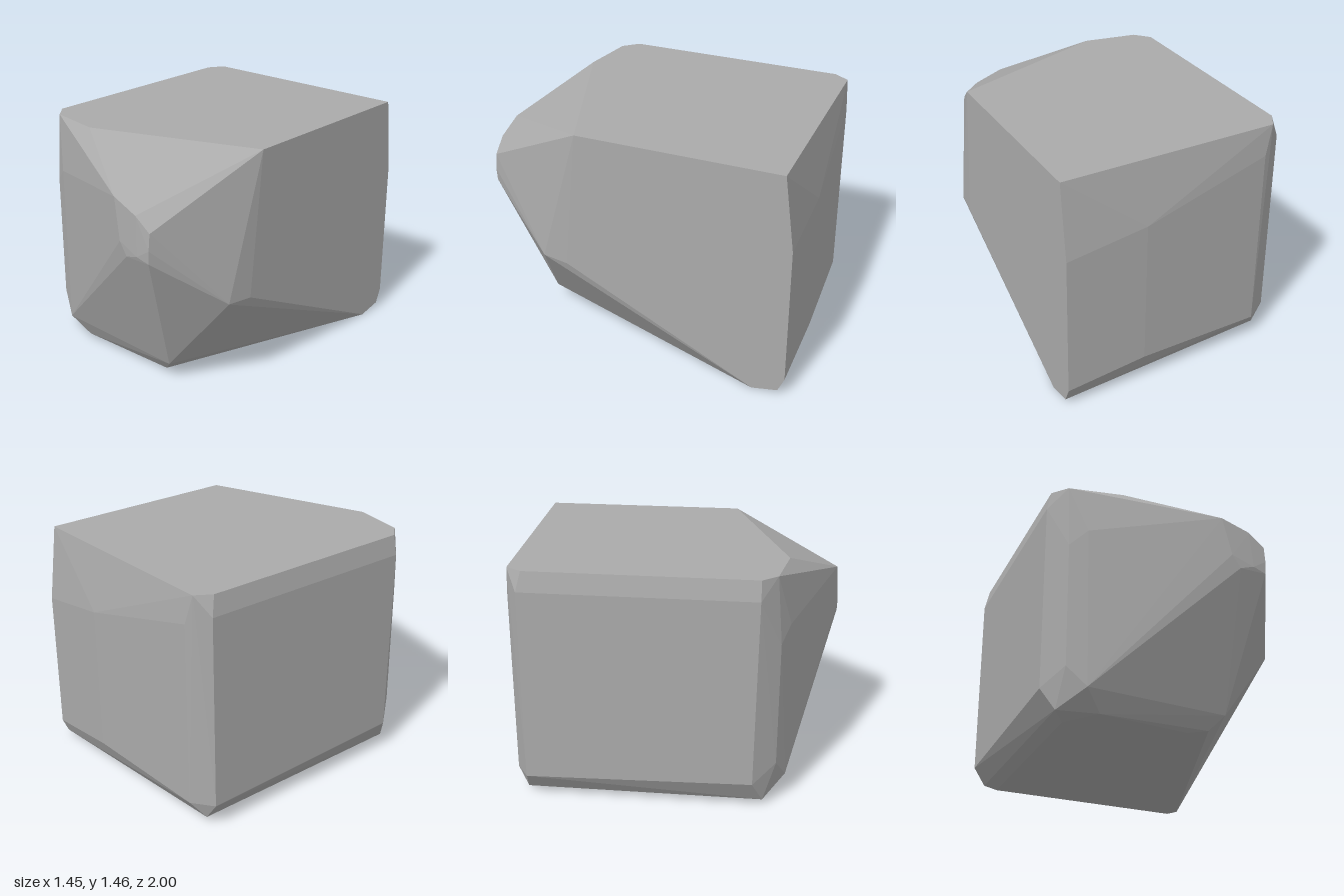
import * as THREE from 'three';
import { ConvexGeometry } from 'three/addons/geometries/ConvexGeometry.js';

const stone = new THREE.MeshStandardMaterial({ color: 0xaaaaaa });
stone.name = 'grey stone';

// Turns [x, y, z] triples into vectors
const points = (list) => list.map((p) => new THREE.Vector3(...p));

export function createModel() {
  // Flat top outline
  const top = points([
    [0.72, 1.46, -0.94], [-0.64, 1.46, -0.915], [-0.7, 1.46, -0.82], [-0.7, 1.46, 0.54],
    [-0.62, 1.46, 0.63], [-0.29, 1.46, 0.685], [0.72, 1.46, 0.31],
  ]);

  // Blunt nose at the front corner
  const nose = points([
    [0.22, 1.245, 0.98], [0.39, 1.18, 0.988], [0.49, 1.1, 0.982], [0.49, 1.0, 0.992],
    [0.485, 0.92, 0.99], [0.405, 0.945, 1.0], [0.32, 0.92, 0.995], [0.27, 1.0, 0.995],
  ]);

  // Sloping front face and its bevel
  const front = points([
    [-0.52, 1.14, 0.71], [-0.51, 0.15, 0.71], [-0.62, 1.05, 0.66], [-0.62, 0.28, 0.655],
    [0.34, 0.115, 0.69], [0.26, 0.03, 0.63], [-0.41, 0.028, 0.645], [-0.65, 0.04, 0.58],
  ]);

  // Side and back corners
  const sides = points([
    [-0.725, 1.34, 0.54], [-0.725, 0.18, 0.52], [-0.725, 1.34, -0.85], [-0.725, 0.15, -0.85],
    [0.7, 0.59, 0.565], [0.72, 0.58, 0.4], [0.72, 1.0, -1], [0.72, 0.12, -1],
    [0.22, 1.08, -1], [0.22, 0.18, -1], [-0.59, 1.28, -0.935], [-0.59, 0.14, -0.935],
  ]);

  // Underside
  const base = points([
    [-0.58, 0.005, 0.5], [0.14, 0.012, 0.6], [0.72, 0, -0.8], [0.72, 0.03, -0.96],
    [-0.58, 0, -0.8], [-0.65, 0.04, -0.86],
  ]);

  const boulder = new THREE.Mesh(
    new ConvexGeometry([...top, ...nose, ...front, ...sides, ...base]),
    stone,
  );
  boulder.name = 'boulder';

  const group = new THREE.Group();
  group.name = 'rock';
  group.add(boulder);
  return group;
}
